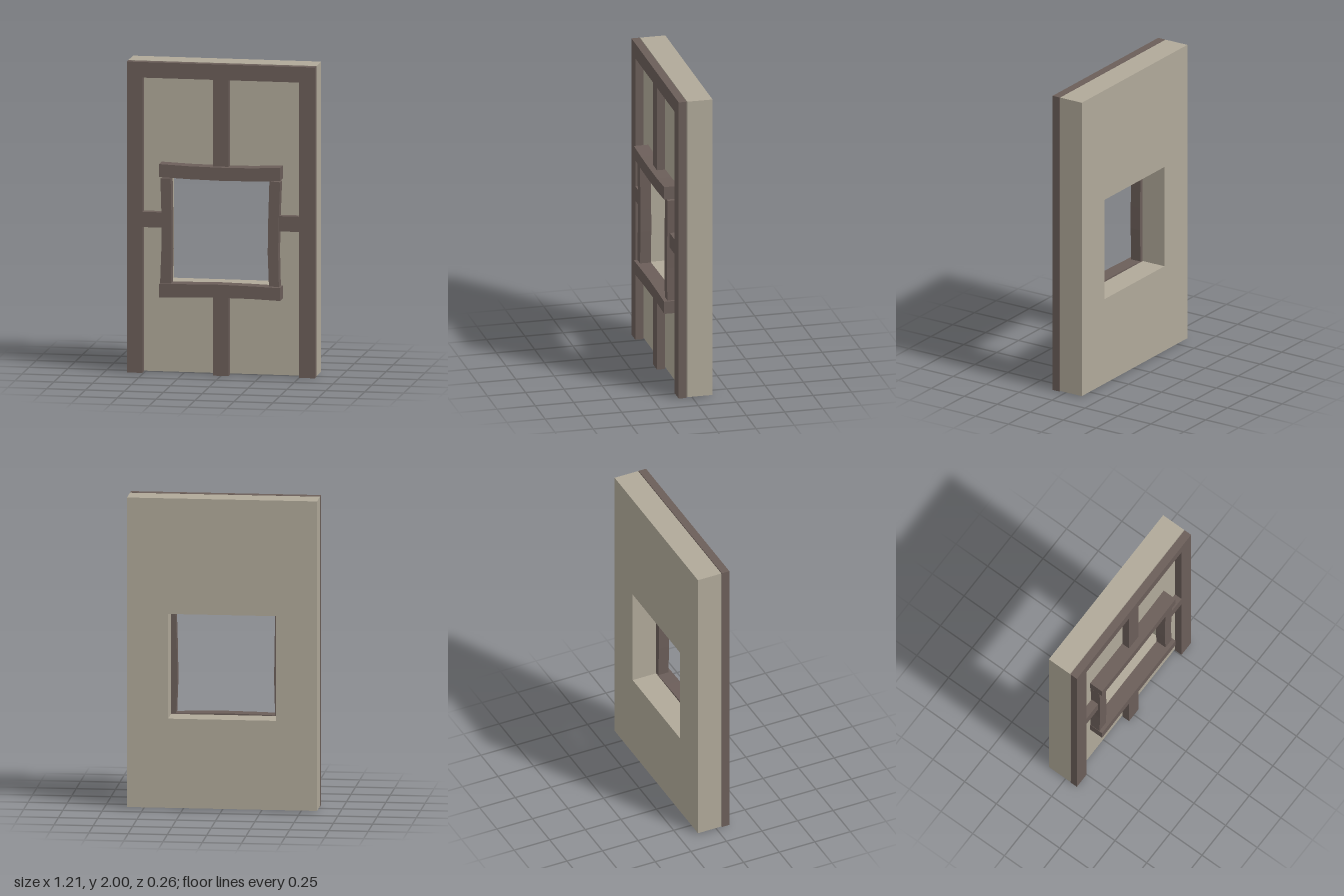
import * as THREE from 'three';

export function createModel() {
  const model = new THREE.Group();
  const plaster = new THREE.MeshStandardMaterial({ color: 0xb0a999 });
  plaster.name = 'plaster';
  const wood = new THREE.MeshStandardMaterial({ color: 0x6b5e59 });
  wood.name = 'darkWood';

  const add = (name, geometry, material) => {
    const mesh = new THREE.Mesh(geometry, material);
    mesh.name = name;
    model.add(mesh);
  };
  const outline = (points) => points.map(([x, y]) => new THREE.Vector2(x, y));
  const rect = (x0, x1, y0, y1) => outline([[x0, y0], [x1, y0], [x1, y1], [x0, y1]]);
  // Straight-sided slab from an outline, between two depths
  const slab = (points, z0, z1, hole) => {
    const shape = new THREE.Shape(points);
    if (hole) shape.holes.push(new THREE.Path(hole));
    return new THREE.ExtrudeGeometry(shape, { depth: z1 - z0, bevelEnabled: false }).translate(0, 0, z0);
  };

  // Wall panel with the window opening
  add('wall', slab(rect(-0.605, 0.605, 0.008, 2), -0.13, 0.035, rect(-0.343, 0.343, 0.582, 1.256)), plaster);

  // Timber framing, standing just clear of the wall
  const beam = (name, x0, x1, y0, y1) => add(name, slab(rect(x0, x1, y0, y1), 0.039, 0.091), wood);
  beam('topBeam', -0.605, 0.605, 1.9, 2);
  beam('rightPost', -0.605, -0.505, 0.003, 1.9);
  beam('leftPost', 0.503, 0.605, 0.003, 1.9);
  beam('upperStud', -0.052, 0.05, 1.335, 1.9);
  beam('lowerStud', -0.052, 0.05, 0, 0.515);
  beam('rightRail', -0.505, -0.375, 0.94, 1.038);
  beam('leftRail', 0.37, 0.503, 0.94, 1.038);

  // Slightly warped window casing
  add('lintel', slab(outline([
    [-0.39, 1.272], [-0.2, 1.264], [0, 1.26], [0.2, 1.262], [0.388, 1.27],
    [0.388, 1.355], [0.2, 1.346], [0, 1.344], [-0.2, 1.347], [-0.39, 1.355],
  ]), 0.036, 0.13), wood);
  add('sill', slab(outline([
    [-0.39, 0.499], [-0.2, 0.505], [0, 0.508], [0.2, 0.507], [0.388, 0.5],
    [0.388, 0.582], [0.2, 0.588], [0, 0.592], [-0.2, 0.589], [-0.39, 0.584],
  ]), 0.036, 0.13), wood);
  add('rightJamb', slab(outline([
    [-0.388, 0.584], [-0.319, 0.586], [-0.313, 0.8], [-0.314, 0.95], [-0.32, 1.262],
    [-0.386, 1.258], [-0.38, 1.05], [-0.38, 0.8],
  ]), 0.036, 0.107), wood);
  add('leftJamb', slab(outline([
    [0.312, 0.588], [0.376, 0.584], [0.371, 0.8], [0.374, 1], [0.384, 1.258],
    [0.315, 1.263], [0.307, 1], [0.304, 0.8],
  ]), 0.036, 0.107), wood);

  return model;
}
